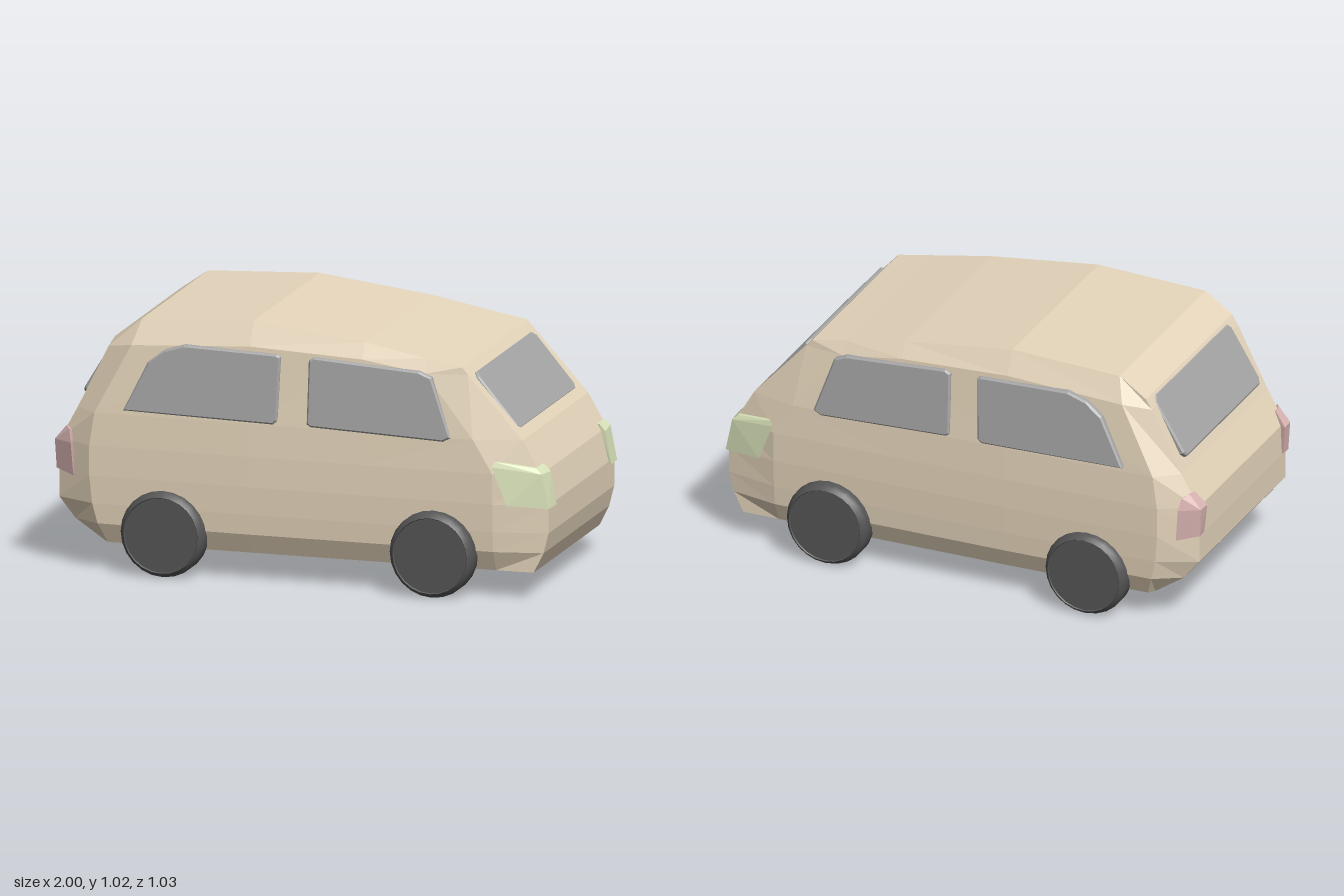
import * as THREE from 'three';
import { toCreasedNormals } from 'three/addons/utils/BufferGeometryUtils.js';
import { ConvexGeometry } from 'three/addons/geometries/ConvexGeometry.js';

const paint = new THREE.MeshStandardMaterial({ color: 0xe6d6bc, flatShading: true });
const glass = new THREE.MeshStandardMaterial({ color: 0xa6a6a6, flatShading: true });
const rubber = new THREE.MeshStandardMaterial({ color: 0x555555 });
const lampClear = new THREE.MeshStandardMaterial({ color: 0xdce5bc, flatShading: true });
const lampRed = new THREE.MeshStandardMaterial({ color: 0xd9b4b2, flatShading: true });

function part(name, geometry, material) {
  const mesh = new THREE.Mesh(geometry, material);
  mesh.name = name;
  return mesh;
}

// Body: rows of side points from sill to roof, mirrored and joined around the rim
function bodyGeometry() {
  const edgeZ = 0.41;
  // [rear x, rear inset x, front inset x, front x, y, side z]
  const levels = [
    [-0.8, -0.78, 0.78, 0.93, 0.11, 0.435],
    [-0.92, -0.81, 0.78, 0.97, 0.19, 0.473],
    [-0.985, -0.83, 0.78, 0.99, 0.27, 0.48],
    [-0.985, -0.84, 0.78, 0.99, 0.38, 0.485],
    [-0.98, -0.84, 0.78, 0.96, 0.5, 0.486],
    [-0.91, -0.82, 0.7, 0.885, 0.63, 0.482],
  ];
  const rows = levels.map(([xb, ib, jf, xf, y, z]) => [
    [xb, y, edgeZ], [ib, y, z], [-0.2, y, z - 0.004], [0.25, y, z - 0.012], [jf, y, z - 0.022], [xf, y, edgeZ],
  ]);
  rows.push([[-0.785, 0.88, edgeZ], [-0.68, 0.9, 0.455], [-0.2, 0.93, 0.455], [0.25, 0.91, 0.445], [0.5, 0.87, 0.435], [0.665, 0.872, edgeZ]]);
  rows.push([[-0.76, 0.92], [-0.65, 0.998], [-0.2, 1.022], [0.25, 0.97], [0.5, 0.925], [0.64, 0.9]].map(([x, y]) => [x, y, edgeZ]));

  const out = [];
  const flip = ([x, y, z]) => [x, y, -z];
  const tri = (a, b, c) => out.push(...a, ...b, ...c);
  const nr = rows.length, nc = rows[0].length;
  for (let r = 0; r < nr - 1; r++) {
    for (let c = 0; c < nc - 1; c++) {
      const a = rows[r][c], b = rows[r][c + 1], d = rows[r + 1][c + 1], e = rows[r + 1][c];
      tri(a, b, d); tri(a, d, e);
      tri(flip(a), flip(d), flip(b)); tri(flip(a), flip(e), flip(d));
    }
  }
  const rim = [
    ...rows[0],
    ...rows.slice(1).map((row) => row[nc - 1]),
    ...rows[nr - 1].slice(0, -1).reverse(),
    ...rows.slice(1, -1).reverse().map((row) => row[0]),
  ];
  rim.forEach((p, i) => {
    const n = rim[(i + 1) % rim.length];
    tri(p, flip(p), flip(n)); tri(p, flip(n), n);
  });
  const g = new THREE.BufferGeometry();
  g.setAttribute('position', new THREE.Float32BufferAttribute(out, 3));
  g.computeVertexNormals();
  return g;
}

// Bevelled plate whose outer face lies on z = 0
function plate(points, depth) {
  const shape = new THREE.Shape(points.map(([x, y]) => new THREE.Vector2(x, y)));
  const bevel = 0.007;
  return new THREE.ExtrudeGeometry(shape, {
    depth, bevelEnabled: true, bevelSize: bevel, bevelOffset: -bevel, bevelThickness: bevel, bevelSegments: 1,
  }).translate(0, 0, -depth - bevel);
}

// Side glass follows the lean and taper of the body side
function sideWindow(name, points) {
  const g = plate(points, 0.03);
  const p = g.attributes.position;
  for (let i = 0; i < p.count; i++) {
    p.setZ(i, p.getZ(i) + 0.502 - 0.07 * (p.getY(i) - 0.64) - 0.026 * (p.getX(i) + 0.7));
  }
  g.computeVertexNormals();
  return part(name, g, glass);
}

// Full-width glass between a lower and an upper point of the centre line
function endWindow(name, [x0, y0], [x1, y1]) {
  const w = 0.362, h = Math.hypot(x1 - x0, y1 - y0) / 2, k = 0.02;
  const g = plate([[-w + k, -h], [w - k, -h], [w, -h + k], [w, h - k], [w - k, h], [-w + k, h], [-w, h - k], [-w, -h + k]], 0.02);
  const up = new THREE.Vector3(x1 - x0, y1 - y0, 0).normalize();
  const across = new THREE.Vector3(0, 0, -Math.sign(x0));
  const normal = new THREE.Vector3().crossVectors(across, up);
  g.applyMatrix4(new THREE.Matrix4().makeBasis(across, up, normal)
    .setPosition((x0 + x1) / 2, (y0 + y1) / 2, 0));
  return part(name, g, glass);
}

function lamp(name, points, material) {
  return part(name, new ConvexGeometry(points.map((p) => new THREE.Vector3(...p))), material);
}

function wheel(name, x) {
  const profile = [[0, 0.402], [0.145, 0.402], [0.16, 0.412], [0.17, 0.432], [0.17, 0.485], [0.162, 0.503], [0.15, 0.514], [0.147, 0.509], [0, 0.509]];
  const g = new THREE.LatheGeometry(profile.map(([r, z]) => new THREE.Vector2(r, z)), 24);
  g.rotateX(Math.PI / 2);
  const mesh = part(name, toCreasedNormals(g, 0.6), rubber);
  mesh.position.set(x, 0.17, 0);
  return mesh;
}

export function createModel() {
  const car = new THREE.Group();
  car.name = 'car';
  car.add(part('body', bodyGeometry(), paint));
  car.add(endWindow('windscreen', [0.86, 0.66], [0.68, 0.873]));
  car.add(endWindow('rearWindow', [-0.91, 0.68], [-0.77, 0.912]));

  // Parts repeated on both sides
  for (const s of [1, -1]) {
    const side = new THREE.Group();
    side.name = s > 0 ? 'rightSide' : 'leftSide';
    side.add(sideWindow('rearSideWindow', [
      [-0.7, 0.65], [-0.1, 0.635], [-0.083, 0.65], [-0.075, 0.9], [-0.09, 0.908], [-0.46, 0.92], [-0.54, 0.895], [-0.605, 0.845],
    ]));
    side.add(sideWindow('frontSideWindow', [
      [0.035, 0.645], [0.05, 0.635], [0.58, 0.614], [0.612, 0.63], [0.53, 0.86], [0.48, 0.88], [0.06, 0.907], [0.038, 0.895],
    ]));
    side.add(lamp('headlight', [
      [1, 0.37, 0.34], [0.997, 0.37, 0.424], [0.84, 0.38, 0.468],
      [0.977, 0.5, 0.34], [0.968, 0.505, 0.43], [0.78, 0.53, 0.473],
      [0.952, 0.527, 0.34], [0.945, 0.527, 0.425], [0.79, 0.55, 0.465],
      [0.9, 0.38, 0.36], [0.86, 0.52, 0.37],
    ], lampClear));
    side.add(lamp('tailLight', [
      [-0.99, 0.385, 0.375], [-0.992, 0.385, 0.42], [-0.91, 0.37, 0.465],
      [-1, 0.5, 0.37], [-0.998, 0.5, 0.425], [-0.92, 0.5, 0.47],
      [-0.955, 0.555, 0.385], [-0.95, 0.558, 0.425], [-0.93, 0.55, 0.455],
      [-0.92, 0.4, 0.39], [-0.92, 0.53, 0.39],
    ], lampRed));
    side.add(wheel('frontWheel', 0.543), wheel('rearWheel', -0.543));
    side.scale.z = s;
    car.add(side);
  }
  return car;
}
